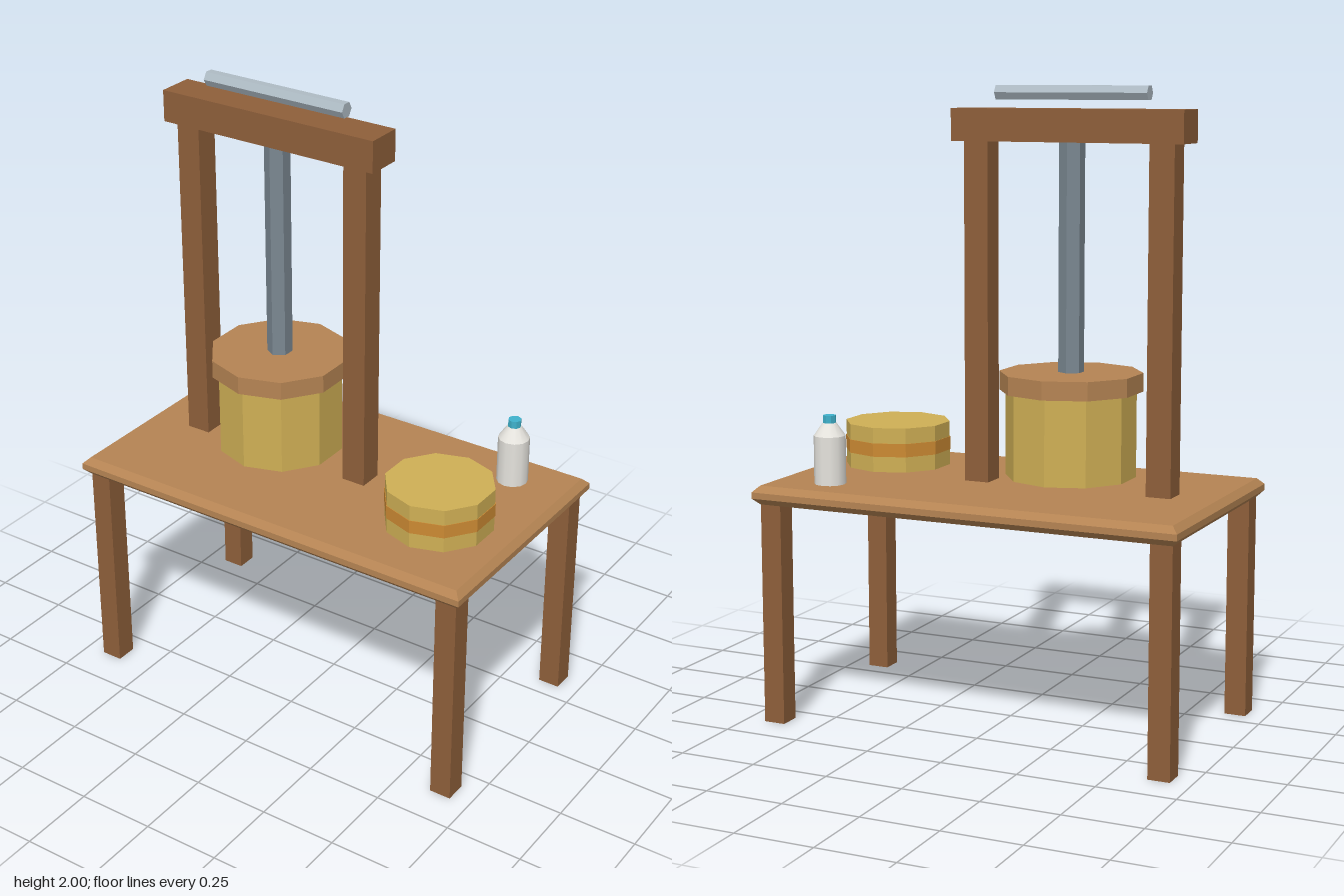
import * as THREE from 'three';

export function createModel() {
  const model = new THREE.Group();
  model.name = 'cheesePress';

  const mat = (name, color, flatShading = true) => {
    const m = new THREE.MeshStandardMaterial({ color, flatShading });
    m.name = name;
    return m;
  };
  const lightWood = mat('light wood', 0xb58453);
  const darkWood = mat('dark wood', 0x8e5f3a);
  const cheese = mat('cheese yellow', 0xcfaf55);
  const rind = mat('orange band', 0xcc8a33);
  const steel = mat('dark steel', 0x7a8791);
  const paleSteel = mat('pale steel', 0xaebbc4);
  const white = mat('bottle white', 0xe6e4de, false);
  const teal = mat('cap teal', 0x3fb2cc);

  const add = (name, geometry, material, x, y, z) => {
    const mesh = new THREE.Mesh(geometry, material);
    mesh.name = name;
    mesh.position.set(x, y, z);
    model.add(mesh);
    return mesh;
  };
  const box = (name, material, w, h, d, x, y, z) =>
    add(name, new THREE.BoxGeometry(w, h, d), material, x, y, z);
  // Upright faceted cylinder between two heights
  const drum = (name, material, r, y0, y1, sides, x, z) =>
    add(name, new THREE.CylinderGeometry(r, r, y1 - y0, sides), material, x, (y0 + y1) / 2, z);

  // Table top with chamfered edges
  const c = 0.02;
  const w = 0.705 - c, d = 0.402 - c;
  const slab = new THREE.Shape([
    new THREE.Vector2(-w, -d), new THREE.Vector2(w, -d),
    new THREE.Vector2(w, d), new THREE.Vector2(-w, d),
  ]);
  const topGeo = new THREE.ExtrudeGeometry(slab, {
    depth: 0.02, bevelEnabled: true, bevelSize: c, bevelThickness: c, bevelSegments: 1,
  });
  topGeo.rotateX(-Math.PI / 2);
  add('tableTop', topGeo, lightWood, 0, 0.725, 0);

  // Table legs
  for (const sx of [-1, 1])
    for (const sz of [-1, 1])
      box('tableLeg', darkWood, 0.07, 0.707, 0.07, sx * 0.65, 0.3535, sz * 0.345);

  // Press frame
  const px = -0.205;
  for (const sx of [-1, 1])
    box('pressPost', darkWood, 0.08, 1.07, 0.08, px + sx * 0.305, 1.298, 0);
  box('pressBeam', darkWood, 0.76, 0.1, 0.12, px, 1.88, 0);

  // Screw and handle bar
  drum('pressScrew', steel, 0.04, 1.12, 1.84, 6, px, 0);
  const handleGeo = new THREE.CylinderGeometry(0.025, 0.025, 0.5, 6);
  handleGeo.rotateZ(Math.PI / 2);
  add('pressHandle', handleGeo, paleSteel, px, 1.978, 0);

  // Pressed cheese and its lid
  drum('pressLid', lightWood, 0.223, 1.07, 1.128, 10, px, 0);
  drum('pressedCheese', cheese, 0.203, 0.802, 1.07, 10, px, 0);

  // Finished cheese wheel with band
  drum('cheeseWheel', cheese, 0.171, 0.772, 0.915, 10, 0.453, 0.1);
  drum('cheeseBand', rind, 0.173, 0.822, 0.865, 10, 0.453, 0.1);

  // Bottle: body, shoulder and cap
  const bx = 0.505, bz = -0.257;
  drum('bottleBody', white, 0.05, 0.765, 0.918, 12, bx, bz);
  add('bottleShoulder', new THREE.CylinderGeometry(0.022, 0.05, 0.04, 12), white, bx, 0.938, bz);
  drum('bottleCap', teal, 0.021, 0.955, 0.982, 8, bx, bz);

  return model;
}
